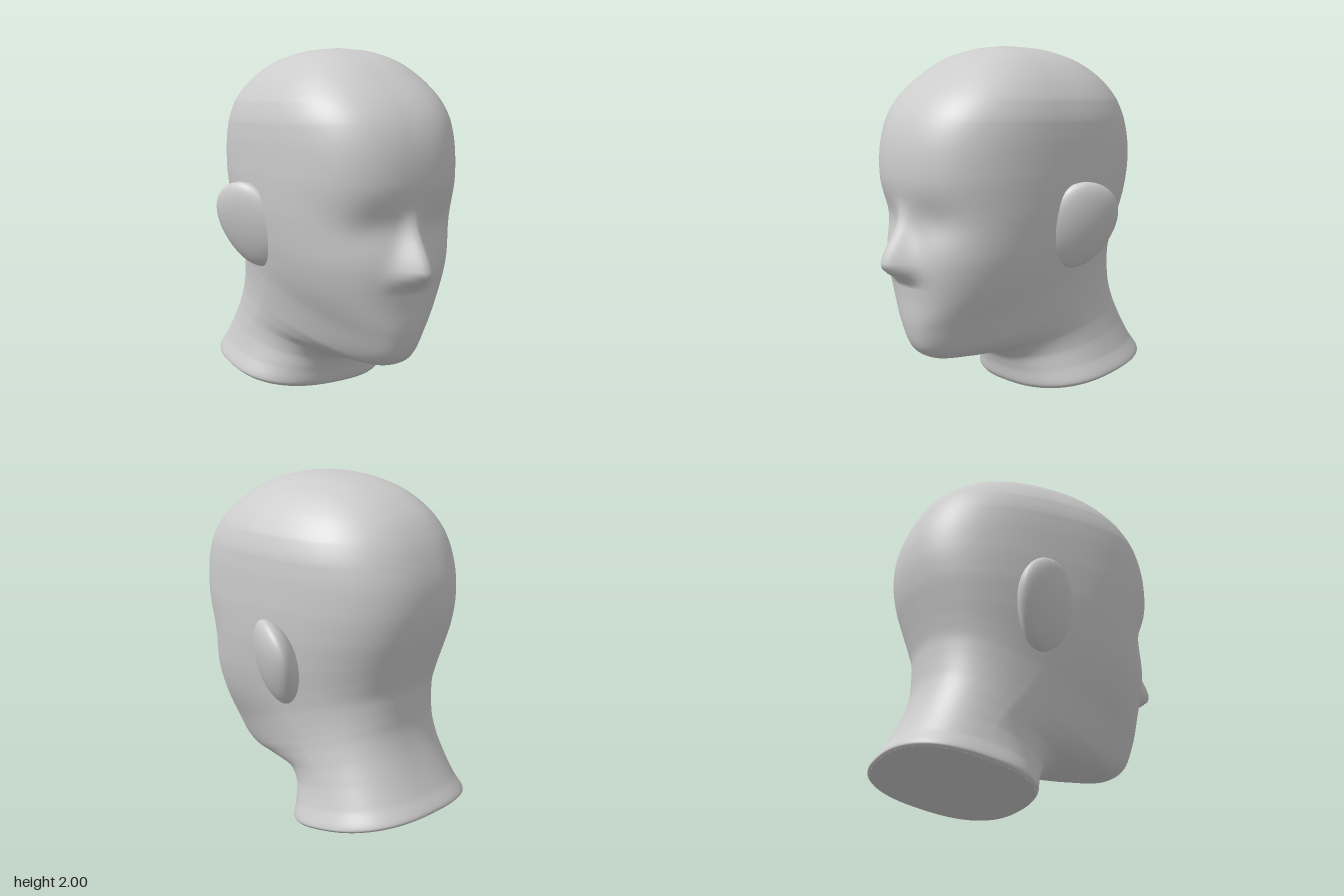
import * as THREE from 'three';
import { ParametricGeometry } from 'three/addons/geometries/ParametricGeometry.js';

// Tilted sections from neck to crown: front z, front y, back z, back y, half width
const SECTIONS = [
  [-0.01, 0.00, -0.84, 0.165, 0.485],
  [0.005, 0.02, -0.85, 0.18, 0.50],
  [0.03, 0.11, -0.79, 0.27, 0.463],
  [0.07, 0.18, -0.72, 0.40, 0.435],
  [0.17, 0.225, -0.67, 0.52, 0.422],
  [0.38, 0.23, -0.645, 0.62, 0.42],
  [0.56, 0.25, -0.64, 0.70, 0.424],
  [0.64, 0.31, -0.64, 0.77, 0.432],
  [0.685, 0.44, -0.645, 0.85, 0.447],
  [0.70, 0.60, -0.675, 0.95, 0.474],
  [0.72, 0.80, -0.71, 1.05, 0.506],
  [0.715, 1.05, -0.75, 1.17, 0.535],
  [0.75, 1.28, -0.775, 1.31, 0.548],
  [0.74, 1.46, -0.77, 1.45, 0.55],
  [0.695, 1.60, -0.735, 1.58, 0.544],
  [0.62, 1.71, -0.685, 1.69, 0.513],
  [0.50, 1.82, -0.60, 1.80, 0.44],
  [0.35, 1.92, -0.45, 1.905, 0.325],
  [0.17, 1.98, -0.24, 1.975, 0.175],
  [0.001, 2.00, -0.001, 2.00, 0.001],
];

const curve = (f) => new THREE.CatmullRomCurve3(SECTIONS.map(f));
const frontLine = curve((s) => new THREE.Vector3(0, s[1], s[0]));
const backLine = curve((s) => new THREE.Vector3(0, s[3], s[2]));
const widthLine = curve((s) => new THREE.Vector3(s[4], 0, 0));

const { lerp, smoothstep } = THREE.MathUtils;
const power = (t, e) => Math.sign(t) * Math.abs(t) ** e;
const gauss = (t, w) => Math.exp(-((t / w) ** 2));

// Nose: a ridge that rises from the bridge to the tip, then tucks under
function nose(x, y) {
  const ridge = 0.145 * smoothstep(y, 0.67, 0.81) * (1 - smoothstep(y, 0.78, 1.17));
  return ridge * gauss(x, lerp(0.11, 0.055, smoothstep(y, 0.72, 1.1)));
}

// Point on the head: u runs around from the back, v from neck to crown
function headPoint(u, v, target) {
  const a = (u * 2 + 1) * Math.PI;
  const front = frontLine.getPoint(v), back = backLine.getPoint(v);
  const jaw = gauss((front.y + back.y) / 2 - 0.5, 0.22);
  const along = power(Math.cos(a), 0.8);
  // The widest point moves forward from the neck to the skull
  const widestZ = lerp(-0.42, 0, smoothstep(back.y, 0.15, 1.2));
  target.copy(back).lerp(front, (widestZ - back.z) / (front.z - back.z));
  target.lerp(along > 0 ? front : back, Math.abs(along));
  // The jaw narrows toward the chin
  const taper = 1 - 0.4 * jaw * Math.max(0, along) ** 1.3;
  target.x = widthLine.getPoint(v).x * power(Math.sin(a), 0.8) * taper;
  // Nose and shallow eye hollows
  if (along > 0) {
    const { x, y } = target;
    target.z += nose(x, y) - 0.03 * gauss(Math.abs(x) - 0.22, 0.15) * gauss(y - 1.04, 0.12);
  }
  return target;
}

// Flat cap closing the cut of the neck
function neckCap() {
  const n = 80, points = [], index = [];
  for (let i = 0; i < n; i++) {
    points.push(headPoint(i / n, 0, new THREE.Vector3()));
    index.push(n, (i + 1) % n, i);
  }
  points.push(new THREE.Vector3(0, 0.0825, -0.425));
  const g = new THREE.BufferGeometry().setFromPoints(points);
  g.setIndex(index);
  g.computeVertexNormals();
  return g;
}

// Ear: a rounded wedge leaning outward toward its top and rear
function earGeometry(side) {
  const g = new THREE.SphereGeometry(1, 40, 28);
  const p = g.attributes.position;
  for (let i = 0; i < p.count; i++) {
    const ux = p.getX(i) * side, uy = p.getY(i);
    const y = 1.0 + 0.25 * uy;
    const z = -0.1 - 0.03 * uy * (1 - uy * uy) + 0.205 * p.getZ(i);
    const x = 0.515 + 0.38 * (-0.08 - z) + 0.27 * (y - 1) + (ux > 0 ? 0.093 : 0.14) * ux;
    p.setXYZ(i, side * x, y, z);
  }
  g.computeVertexNormals();
  return g;
}

export function createModel() {
  const group = new THREE.Group();
  group.name = 'mannequinHead';
  const material = new THREE.MeshStandardMaterial({ color: 0xcccccc });
  const add = (geometry, name) => {
    const mesh = new THREE.Mesh(geometry, material);
    mesh.name = name;
    group.add(mesh);
  };
  add(new ParametricGeometry(headPoint, 240, 130), 'headAndNeck');
  add(neckCap(), 'neckBase');
  add(earGeometry(1), 'leftEar');
  add(earGeometry(-1), 'rightEar');
  return group;
}
